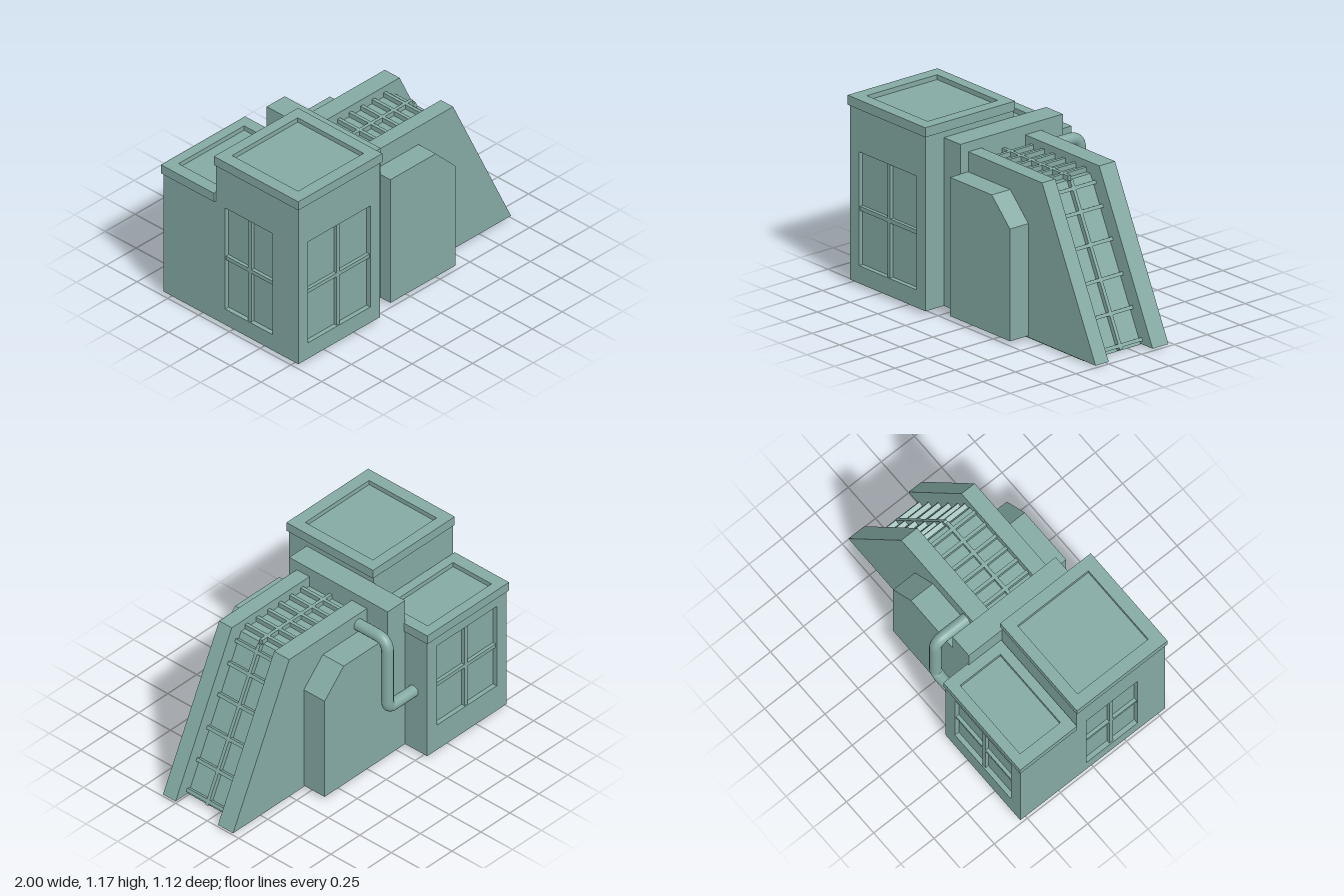
import * as THREE from 'three';

const material = new THREE.MeshStandardMaterial({ color: 0x84a9a3, flatShading: true });
const smooth = new THREE.MeshStandardMaterial({ color: 0x84a9a3 });

function add(parent, name, geometry, mat = material) {
  const mesh = new THREE.Mesh(geometry, mat);
  mesh.name = name;
  parent.add(mesh);
  return mesh;
}

// Box given by its minimum and maximum on each axis
function box(parent, name, [x0, x1], [y0, y1], [z0, z1]) {
  const mesh = add(parent, name, new THREE.BoxGeometry(x1 - x0, y1 - y0, z1 - z0));
  mesh.position.set((x0 + x1) / 2, (y0 + y1) / 2, (z0 + z1) / 2);
  return mesh;
}

// Side profile in x/y, extruded from z0 to z1
function slab(parent, name, points, z0, z1) {
  const shape = new THREE.Shape(points.map(p => new THREE.Vector2(...p)));
  const mesh = add(parent, name, new THREE.ExtrudeGeometry(shape, { depth: z1 - z0, bevelEnabled: false }));
  mesh.position.z = z0;
  return mesh;
}

// Flat panel with a rectangular opening; rectangles are [u0, u1, v0, v1]
function panel(parent, name, [a0, a1, b0, b1], [u0, u1, v0, v1], depth) {
  const rect = (T, l, r, b, t) => new T([[l, b], [r, b], [r, t], [l, t]].map(p => new THREE.Vector2(...p)));
  const shape = rect(THREE.Shape, a0, a1, b0, b1);
  shape.holes.push(rect(THREE.Path, u0, u1, v0, v1));
  return add(parent, name, new THREE.ExtrudeGeometry(shape, { depth, bevelEnabled: false }));
}

// Wall panel with a sunken window and a cross of bars
function windowWall(parent, name, wall, hole) {
  const group = new THREE.Group();
  group.name = name;
  parent.add(group);
  panel(group, 'wallPanel', wall, hole, 0.03);
  const [u0, u1, v0, v1] = hole, u = (u0 + u1) / 2, v = (v0 + v1) / 2;
  box(group, 'uprightBar', [u - 0.013, u + 0.013], [v0, v1], [0, 0.022]);
  box(group, 'crossBar', [u0, u1], [v - 0.013, v + 0.013], [0, 0.022]);
  return group;
}

// Roof cap with a sunken centre; z ranges are mirrored by laying the panel flat
function roofCap(parent, name, y, [z0, z1], [h0, h1]) {
  box(parent, name + 'Base', [-1, -0.295], [y, y + 0.03], [z0, z1]);
  const rim = panel(parent, name + 'Rim', [-1, -0.295, -z1, -z0], [-0.92, -0.37, -h1, -h0], 0.03);
  rim.rotation.x = -Math.PI / 2;
  rim.position.y = y + 0.03;
}

export function createModel() {
  const model = new THREE.Group();
  model.name = 'building';

  // Tall front tower
  box(model, 'towerCore', [-0.96, -0.305], [0.02, 1.11], [-0.12, 0.52]);
  windowWall(model, 'towerFrontWall', [-0.99, -0.305, 0.02, 1.11], [-0.91, -0.385, 0.13, 0.84]).position.z = 0.52;
  const side = windowWall(model, 'towerSideWall', [-0.12, 0.52, 0.02, 1.11], [-0.045, 0.34, 0.13, 0.84]);
  side.rotation.y = -Math.PI / 2;
  side.position.x = -0.96;
  roofCap(model, 'towerRoof', 1.11, [-0.125, 0.56], [-0.055, 0.48]);

  // Lower rear tower
  box(model, 'rearCore', [-0.99, -0.305], [0.02, 0.85], [-0.515, -0.12]);
  const back = windowWall(model, 'rearWall', [0.305, 0.99, 0.02, 0.85], [0.39, 0.905, 0.2, 0.78]);
  back.rotation.y = Math.PI;
  back.position.z = -0.515;
  roofCap(model, 'rearRoof', 0.85, [-0.555, -0.125], [-0.49, -0.185]);

  // Dividing wall and the chamfered buttress through the ramp
  box(model, 'dividingWall', [-0.305, -0.155], [0.02, 1.07], [-0.37, 0.41]);
  slab(model, 'buttress', [[-0.155, 0.02], [0.39, 0.02], [0.39, 0.72], [0.225, 0.885], [-0.155, 0.885]], -0.37, 0.49);

  // Sloping side plates with the glazed ramp between them
  for (const [z0, z1] of [[0.25, 0.35], [-0.205, -0.085]])
    slab(model, 'sidePlate', [[-0.155, 0.01], [1, 0.01], [0.515, 1.01], [-0.155, 1.01]], z0, z1);
  slab(model, 'glazing', [[-0.155, 0.005], [0.89, 0.005], [0.435, 0.94], [-0.155, 0.94]], -0.085, 0.25);
  box(model, 'footPlate', [-0.25, 0.88], [0.002, 0.03], [-0.19, 0.34]);

  // Glazing bars on the flat top and down the slope
  const bars = new THREE.Group();
  bars.name = 'glazingBars';
  model.add(bars);
  const zMid = 0.0825, slope = Math.atan2(-0.935, 0.455);
  const bar = (name, x, y, angle, length, width) => {
    const mesh = add(bars, name, new THREE.BoxGeometry(length, 0.06, width));
    mesh.position.set(x, y, zMid);
    mesh.rotation.z = angle;
  };
  const slopeX = y => 0.89 - (y - 0.005) * 0.455 / 0.935;
  bar('topRail', 0.145, 0.94, 0, 0.6, 0.022);
  bar('slopeRail', slopeX(0.4725), 0.4725, slope, 1.03, 0.022);
  for (let i = 0; i < 6; i++) bar('topBar', -0.09 + i * 0.096, 0.94, 0, 0.022, 0.335);
  for (const y of [0.89, 0.76, 0.58, 0.39, 0.205, 0.03]) bar('slopeBar', slopeX(y), y, slope, 0.022, 0.335);

  // Bent pipe from the ramp to the rear tower
  const V = (x, y, z) => new THREE.Vector3(x, y, z);
  const corners = [V(-0.08, 0.937, -0.15), V(-0.08, 0.937, -0.437), V(-0.08, 0.445, -0.437), V(-0.33, 0.445, -0.437)];
  const path = new THREE.CurvePath();
  let from = corners[0];
  for (let i = 1; i < 3; i++) {
    const r = i === 1 ? 0.08 : 0.05, c = corners[i];
    const start = c.clone().add(corners[i - 1].clone().sub(c).setLength(r));
    const end = c.clone().add(corners[i + 1].clone().sub(c).setLength(r));
    path.add(new THREE.LineCurve3(from, start));
    path.add(new THREE.QuadraticBezierCurve3(start, c, end));
    from = end;
  }
  path.add(new THREE.LineCurve3(from, corners[3]));
  add(model, 'pipe', new THREE.TubeGeometry(path, 80, 0.037, 16), smooth);

  return model;
}
